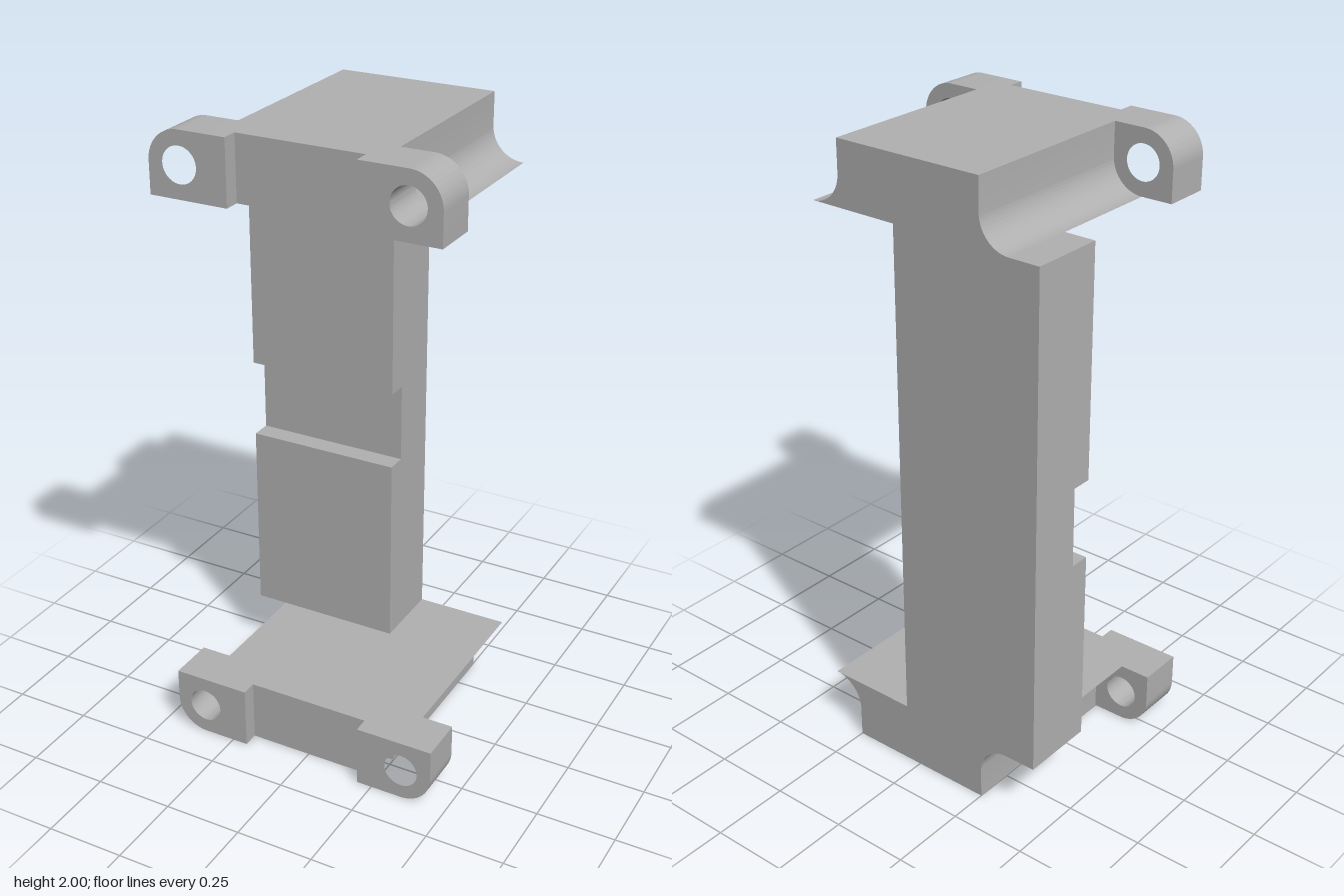
import * as THREE from 'three';
import { toCreasedNormals } from 'three/addons/utils/BufferGeometryUtils.js';

const metal = new THREE.MeshStandardMaterial({ color: 0xb0b0b0 });
metal.name = 'grey metal';

// Extrude an xy outline from z0 to z1, smooth on curves and sharp on edges
function extrude(shape, z0, z1) {
  const g = new THREE.ExtrudeGeometry(shape, { depth: z1 - z0, bevelEnabled: false, curveSegments: 24 });
  g.translate(0, 0, z0);
  return toCreasedNormals(g, 0.5);
}

function part(name, geometry) {
  const mesh = new THREE.Mesh(geometry, metal);
  mesh.name = name;
  return mesh;
}

// Arm outline: flat top, concave screw clearances on both sides
function armShape() {
  const s = new THREE.Shape();
  s.moveTo(-0.35, 1.8);
  s.lineTo(0.35, 1.8);
  s.absarc(0.35, 1.9, 0.1, -Math.PI / 2, -Math.PI, true);
  s.lineTo(0.25, 2);
  s.lineTo(-0.25, 2);
  s.lineTo(-0.25, 1.9);
  s.absarc(-0.35, 1.9, 0.1, 0, -Math.PI / 2, true);
  return s;
}

// Mounting ear with one rounded corner and a screw hole; side is 1 or -1
function earShape(side) {
  const s = new THREE.Shape();
  s.moveTo(side * 0.2, 1.8);
  s.lineTo(side * 0.45, 1.8);
  s.lineTo(side * 0.45, 1.9);
  s.absarc(side * 0.35, 1.9, 0.1, side > 0 ? 0 : Math.PI, Math.PI / 2, side < 0);
  s.lineTo(side * 0.2, 2);
  s.closePath();
  const hole = new THREE.Path();
  hole.absarc(side * 0.35, 1.9, 0.055, 0, Math.PI * 2, true);
  s.holes.push(hole);
  return s;
}

// Bracket arm, recessed front web and two ears
function createArm(name) {
  const arm = new THREE.Group();
  arm.name = name;
  arm.add(part('armBody', extrude(armShape(), -0.375, 0.225)));
  const web = new THREE.BoxGeometry(0.4, 0.2, 0.1);
  web.translate(0, 1.9, 0.275);
  arm.add(part('frontWeb', web));
  arm.add(part('leftEar', extrude(earShape(1), 0.225, 0.375)));
  arm.add(part('rightEar', extrude(earShape(-1), 0.225, 0.375)));
  return arm;
}

export function createModel() {
  const model = new THREE.Group();
  model.name = 'mountingBracket';

  model.add(createArm('upperArm'));
  const lower = createArm('lowerArm');
  lower.rotation.z = Math.PI;
  lower.position.y = 2;
  model.add(lower);

  // Column with a shallow front notch: side profile given as [-z, y]
  const profile = [
    [0.375, 0.2], [0.375, 1.8], [0.135, 1.8], [0.135, 1.08],
    [0.2, 1.08], [0.2, 0.825], [0.135, 0.825], [0.135, 0.2],
  ];
  const shape = new THREE.Shape(profile.map(([x, y]) => new THREE.Vector2(x, y)));
  const column = extrude(shape, -0.45, 0.05);
  column.rotateY(Math.PI / 2);
  model.add(part('column', column));

  return model;
}
